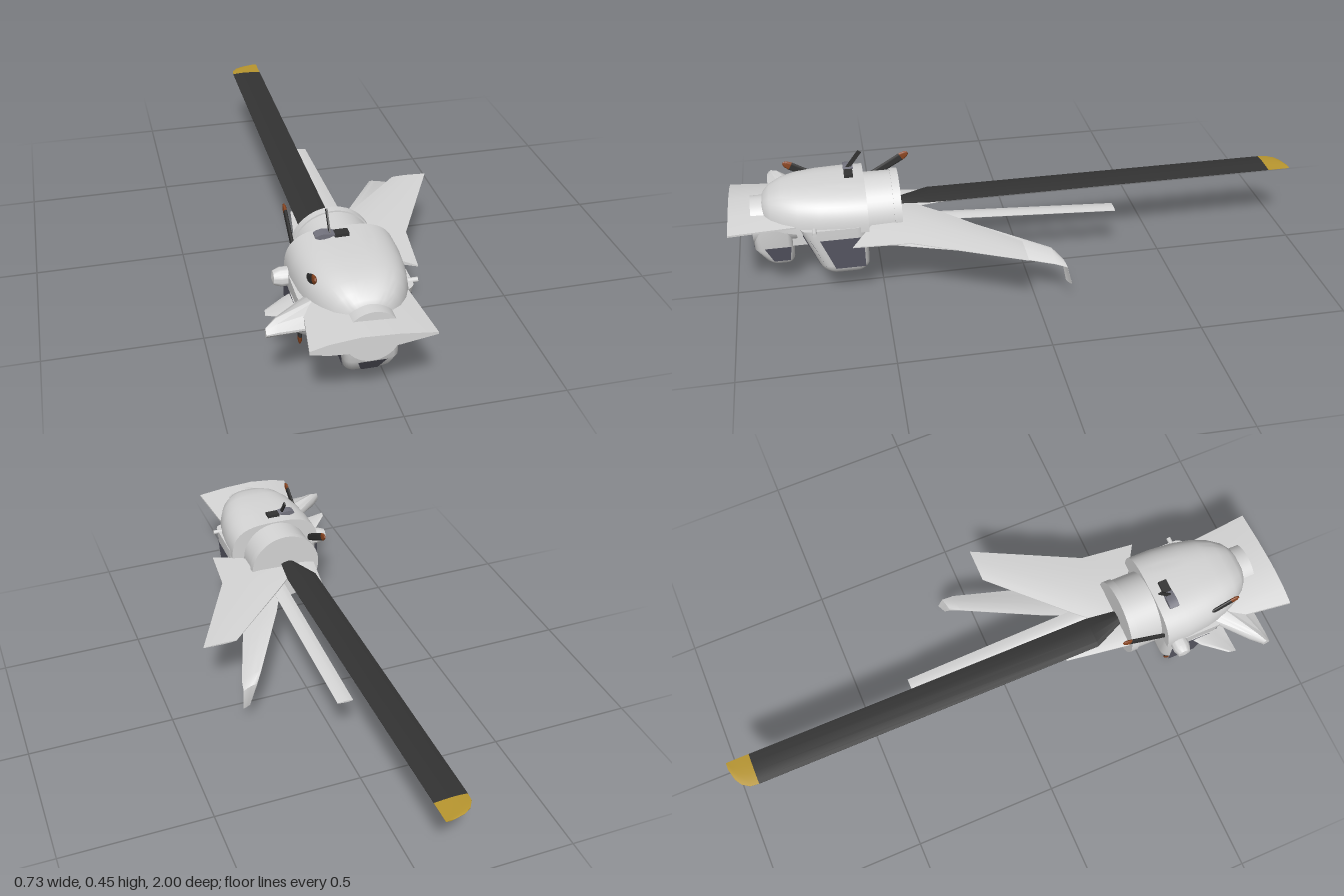
import * as THREE from 'three';
import { toCreasedNormals } from 'three/addons/utils/BufferGeometryUtils.js';

const CX = -0.075; // centre line of the hull

// Skin a list of equal-length rings and close both ends; faces always point outward.
function loft(rings, crease = 0.6) {
  const n = rings[0].length;
  const tris = [];
  for (let i = 0; i < rings.length - 1; i++) {
    for (let j = 0; j < n; j++) {
      const k = (j + 1) % n;
      const a = rings[i][j], b = rings[i][k], c = rings[i + 1][k], d = rings[i + 1][j];
      tris.push([a, b, c], [a, c, d]);
    }
  }
  const cap = (ring, flip) => {
    const m = new THREE.Vector3();
    ring.forEach((p) => m.addScaledVector(p, 1 / n));
    for (let j = 0; j < n; j++) {
      const a = ring[j], b = ring[(j + 1) % n];
      tris.push(flip ? [m, b, a] : [m, a, b]);
    }
  };
  cap(rings[0], true);
  cap(rings[rings.length - 1], false);
  const mid = rings[0][0];
  let volume = 0;
  const v = [0, 1, 2].map(() => new THREE.Vector3());
  for (const t of tris) {
    t.forEach((p, i) => v[i].copy(p).sub(mid));
    volume += v[0].dot(v[1].cross(v[2]));
  }
  if (volume < 0) tris.forEach((t) => t.reverse());
  const geo = new THREE.BufferGeometry().setFromPoints(tris.flat());
  return toCreasedNormals(geo, crease);
}

// Lens-section surface; each station is [leading point, trailing point, thickness].
function fin(stations) {
  const profile = [[0, 0.2], [0.15, 0.7], [0.4, 1], [0.7, 0.7], [1, 0.12]];
  const around = [...profile, ...profile.map(([t, h]) => [t, -h]).reverse()];
  return loft(stations.map(([a, b, thick]) => {
    const p = new THREE.Vector3(...a), q = new THREE.Vector3(...b);
    return around.map(([t, h]) => {
      const r = p.clone().lerp(q, t);
      r.y += h * thick / 2;
      return r;
    });
  }));
}

// Horizontal rounded rectangle, used as one layer of the cabin and chin.
function layer(y, halfW, back, front, r) {
  const ring = [];
  const corners = [[1, 1], [-1, 1], [-1, -1], [1, -1]];
  corners.forEach(([sx, sz], c) => {
    for (let i = 0; i <= 5; i++) {
      const a = (c + i / 5) * Math.PI / 2;
      const x = sx * (halfW - r) + r * Math.cos(a);
      const z = (sz > 0 ? front - r : back + r) + r * Math.sin(a);
      ring.push(new THREE.Vector3(CX + x, y, z));
    }
  });
  return ring;
}

// Flat four-cornered pane
function pane(points) {
  const g = new THREE.BufferGeometry().setFromPoints(
    [0, 1, 2, 0, 2, 3].map((i) => new THREE.Vector3(...points[i])));
  g.computeVertexNormals();
  return g;
}

export function createModel() {
  const group = new THREE.Group();
  const mat = (name, color, side = THREE.FrontSide) => {
    const m = new THREE.MeshStandardMaterial({ color, side });
    m.name = name;
    return m;
  };
  const white = mat('hull white', 0xd6d6d6);
  const glass = mat('window glass', 0x555561, THREE.DoubleSide);
  const black = mat('blade black', 0x333333);
  const yellow = mat('blade tip yellow', 0xb8962f);
  const brown = mat('propeller tip brown', 0x8a4520);
  const slate = mat('antenna slate', 0x74747f);
  const add = (name, geo, material, parent = group) => {
    const m = new THREE.Mesh(geo, material);
    m.name = name;
    parent.add(m);
    return m;
  };

  // Upper shell: rounded sections shrinking toward the nose
  const shell = [[0.54, 0.173, 0.375], [0.62, 0.173, 0.376], [0.7, 0.165, 0.376], [0.77, 0.15, 0.373],
    [0.82, 0.128, 0.366], [0.86, 0.1, 0.35], [0.88, 0.075, 0.333], [0.893, 0.045, 0.31]];
  add('upperShell', loft(shell.map(([z, w, top]) => {
    const ring = [];
    for (let i = 0; i <= 28; i++) {
      const a = Math.PI * i / 28, c = Math.cos(a);
      ring.push(new THREE.Vector3(CX + w * Math.sign(c) * Math.abs(c) ** 0.65,
        0.25 + (top - 0.25) * Math.sin(a) ** 0.75, z));
    }
    return ring;
  }), 0.9), white);

  // Rear drum with a raised end ring
  for (const [name, r, z, len] of [['rearDrum', 0.127, 0.51, 0.12], ['rearRing', 0.132, 0.437, 0.026]]) {
    const g = new THREE.CylinderGeometry(r, r, len, 48).rotateX(Math.PI / 2);
    add(name, g, white).position.set(CX, 0.243, z);
  }

  // Cabin with a forward-leaning front
  const cabinFront = (y) => 0.7 + (y - 0.1) * 0.4;
  const chinFront = (y) => Math.min(0.925, 0.885 + (y - 0.1) * 0.67);
  add('cabin', loft([[0.09, 0.13, 0.03], [0.096, 0.158, 0.01], [0.112, 0.17, 0.002], [0.13, 0.174, 0], [0.27, 0.175, 0]]
    .map(([y, w, inset]) => layer(y, w, 0.545 + inset, cabinFront(y) - inset, 0.035)), 0.9), white);

  // Nose pod: round drum, chin and the neck joining it to the cabin
  const nose = new THREE.CylinderGeometry(0.083, 0.083, 0.145, 48).rotateX(Math.PI / 2);
  add('noseDrum', nose, white).position.set(CX, 0.24, 0.853);
  add('noseChin', loft([[0.09, 0.05, 0.02], [0.096, 0.064, 0.005], [0.11, 0.07, 0], [0.16, 0.08, 0], [0.24, 0.083, 0]]
    .map(([y, w, inset]) => layer(y, w, 0.795 + inset, chinFront(y) - inset, 0.025)), 0.9), white);
  add('neck', new THREE.BoxGeometry(0.13, 0.12, 0.2), white).position.set(CX, 0.22, 0.74);

  // Windows
  const e = 0.004;
  add('chinFrontWindow', pane([[-0.05, 0.105], [-0.1, 0.105], [-0.118, 0.157], [-0.032, 0.157]]
    .map(([x, y]) => [x, y, chinFront(y) + e])), glass);
  for (const s of [1, -1]) {
    add('cabinFrontWindow', pane([[0.036, 0.108], [0.13, 0.112], [0.141, 0.238], [0.045, 0.238]]
      .map(([x, y]) => [CX + s * x, y, cabinFront(y) + e])), glass);
    add('cabinSideWindow', pane([[0.56, 0.122], [0.66, 0.122], [0.705, 0.235], [0.56, 0.235]]
      .map(([z, y]) => [CX + s * (0.1755 + e), y, z])), glass);
    add('cabinCornerWindow', pane([[0.152, 0.125, 0.699], [0.17, 0.125, 0.69], [0.173, 0.235, 0.735], [0.155, 0.235, 0.744]]
      .map(([x, y, z]) => [CX + s * x, y, z])), glass);
    add('chinSideWindow', pane([[0.81, 0.11, 0.074], [0.865, 0.11, 0.074], [0.892, 0.168, 0.084], [0.803, 0.168, 0.084]]
      .map(([z, y, x]) => [CX + s * x, y, z])), glass);
  }

  // Wings and fins
  const fins = {
    frontWing: [[[-0.245, 0.272, 0.77], [0.07, 0.275, 0.77], 0.045], [[-0.275, 0.272, 1], [0.09, 0.278, 1], 0.052]],
    sweptWing: [[[-0.12, 0.24, 0.42], [0.16, 0.232, 0.6], 0.03], [[0, 0.243, 0.29], [0.18, 0.238, 0.41], 0.024],
      [[0.24, 0.241, 0.05], [0.36, 0.24, 0.05], 0.006]],
    wingletFin: [[[-0.1, 0.235, 0.5], [0.12, 0.21, 0.5], 0.02], [[0.04, 0.215, 0.2], [0.17, 0.175, 0.2], 0.014],
      [[0.19, 0.172, -0.06], [0.26, 0.15, -0.06], 0.012], [[0.215, 0.145, -0.09], [0.267, 0.137, -0.1], 0.012],
      [[0.245, 0.074, -0.1], [0.275, 0.074, -0.115], 0.006]],
    straightFin: [[[-0.04, 0.235, 0.5], [0.015, 0.235, 0.5], 0.014], [[-0.04, 0.188, -0.33], [0.015, 0.188, -0.33], 0.007]],
    thickStub: [[[-0.14, 0.257, 0.65], [-0.14, 0.257, 0.87], 0.058], [[-0.335, 0.257, 0.815], [-0.335, 0.257, 0.874], 0.057],
      [[-0.368, 0.255, 0.85], [-0.368, 0.255, 0.874], 0.034]],
    thinStub: [[[-0.15, 0.222, 0.57], [-0.15, 0.222, 0.76], 0.014], [[-0.28, 0.225, 0.66], [-0.28, 0.225, 0.76], 0.012],
      [[-0.345, 0.24, 0.73], [-0.35, 0.24, 0.757], 0.008]],
    rootFin: [[[-0.19, 0.24, 0.44], [-0.05, 0.24, 0.44], 0.024], [[-0.155, 0.24, 0.2], [-0.09, 0.24, 0.2], 0.008]],
  };
  for (const [name, stations] of Object.entries(fins)) add(name, fin(stations), white);
  add('sideNub', new THREE.CylinderGeometry(0.008, 0.008, 0.06, 12).rotateZ(Math.PI / 2), white)
    .position.set(0.088, 0.268, 0.72);

  // Long rear blade with a rounded tip
  const span = (z, x0, x1, t) => [[x0, 0.26, z], [x1, 0.26, z], t];
  add('longBlade', fin([span(0.44, -0.1, -0.06, 0.02), span(0.32, -0.155, -0.045, 0.012),
    span(-0.92, -0.155, -0.045, 0.009)]), black);
  add('longBladeTip', fin([span(-0.92, -0.155, -0.045, 0.009), span(-0.95, -0.152, -0.045, 0.008),
    span(-0.975, -0.135, -0.045, 0.007), span(-0.99, -0.11, -0.045, 0.006), span(-1, -0.07, -0.045, 0.004)]), yellow);

  // Side nacelle and three-bladed propeller turning about x
  const pod = [[0, 0], [0.026, 0], [0.03, 0.02], [0.03, 0.13], [0.022, 0.152], [0, 0.158]]
    .map(([r, y]) => new THREE.Vector2(r, y));
  add('nacelle', toCreasedNormals(new THREE.LatheGeometry(pod, 28).rotateZ(Math.PI / 2), 0.5), white)
    .position.set(-0.14, 0.25, 0.585);
  const prop = new THREE.Group();
  prop.name = 'propeller';
  prop.position.set(-0.213, 0.25, 0.592);
  group.add(prop);
  for (let i = 0; i < 3; i++) {
    const arm = new THREE.Group();
    arm.name = 'propellerBlade';
    arm.rotation.x = i * Math.PI * 2 / 3;
    prop.add(arm);
    const section = (y, w, t) => {
      const ring = [];
      for (let k = 0; k < 12; k++) {
        const a = k * Math.PI / 6;
        ring.push(new THREE.Vector3(t * Math.cos(a), y, w * Math.sin(a)));
      }
      return ring;
    };
    add('bladeBody', loft([section(0, 0.009, 0.006), section(-0.1, 0.014, 0.006), section(-0.222, 0.015, 0.006)]), black, arm);
    add('bladeTip', loft([section(-0.222, 0.015, 0.006), section(-0.24, 0.012, 0.006), section(-0.25, 0.005, 0.003)]), brown, arm);
  }

  // Roof antenna
  add('antennaBase', fin([[[-0.165, 0.382, 0.572], [-0.105, 0.385, 0.572], 0.018],
    [[-0.165, 0.382, 0.606], [-0.105, 0.385, 0.606], 0.018]]), slate);
  add('antennaBox', new THREE.BoxGeometry(0.045, 0.014, 0.03), black).position.set(-0.083, 0.379, 0.59);
  const mast = add('antennaMast', new THREE.BoxGeometry(0.005, 0.085, 0.014), black);
  mast.position.set(-0.118, 0.409, 0.572);
  mast.rotation.x = -0.65;

  return group;
}
